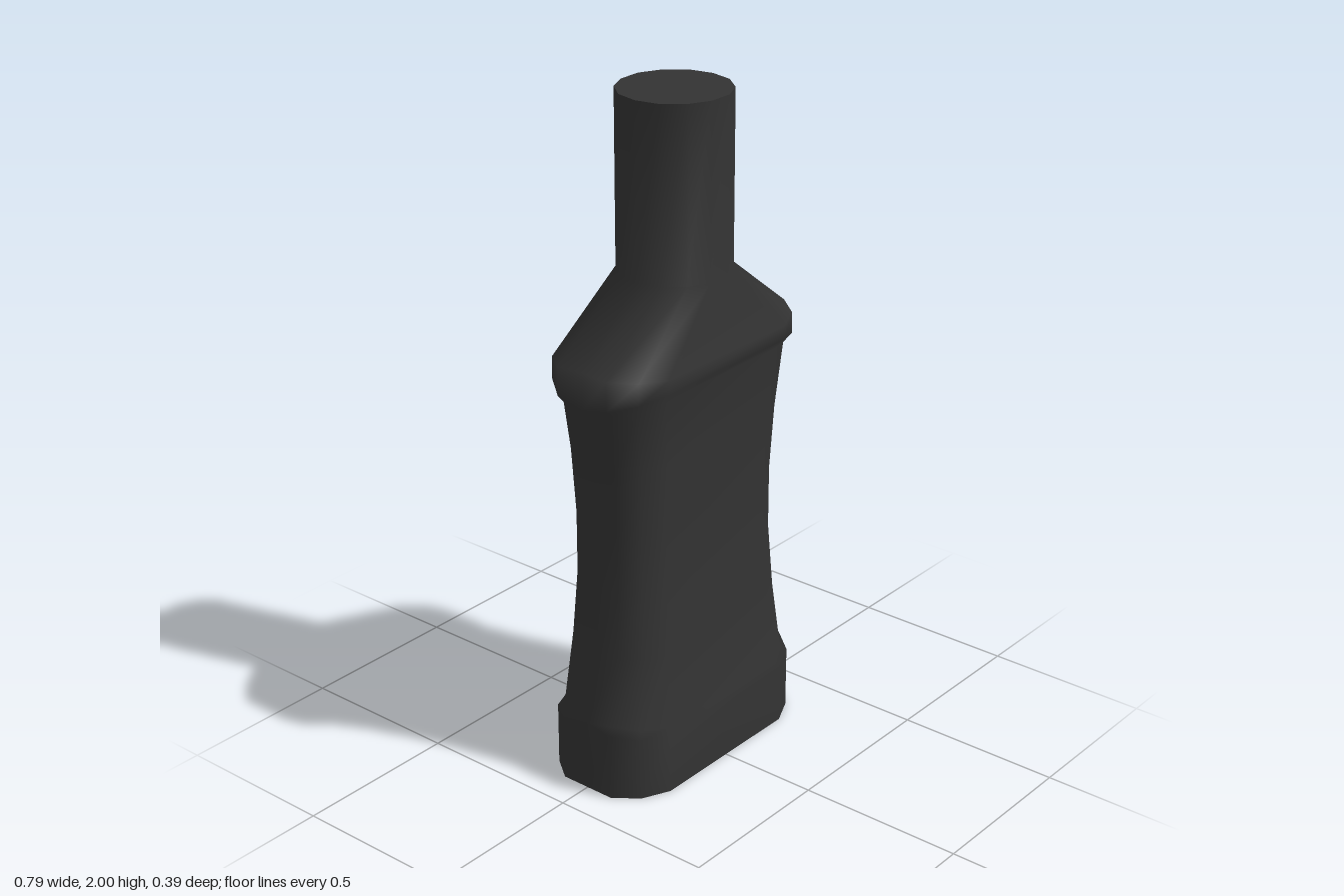
import * as THREE from 'three';

// quarter outlines, from the side (+x) round to the front (+z)
const bodyQuarter = [[0.393, 0], [0.393, 0.088], [0.34, 0.158], [0.257, 0.197]];
const neckQuarter = [[0.163, 0], [0.148, 0.07], [0.1, 0.128], [0.037, 0.158]];

// mirror a quarter outline into a closed loop of 14 points [x, z, t], t = 0 at the side, 1 at the front
function fullLoop(quarter) {
  const q = quarter.map(([x, z], i) => [x, z, i / 3]);
  const half = [...q, ...q.slice(1).reverse().map(([x, z, t]) => [-x, z, t])];
  const back = [...q.slice(1).map(([x, z, t]) => [-x, -z, t]), ...q.slice(1).reverse().map(([x, z, t]) => [x, -z, t])];
  return [...half, [-q[0][0], 0, 0], ...back];
}

// one level: height at the sides, height at the front, half width, half depth
function bodyRing([ySide, yFront, hx, hz]) {
  return fullLoop(bodyQuarter).map(([x, z, t]) =>
    [x * hx / 0.393, THREE.MathUtils.lerp(ySide, yFront, t), z * hz / 0.197]);
}
const neckRing = (y) => fullLoop(neckQuarter).map(([x, z]) => [x, y, z]);

// smooth wall through a stack of rings
function loft(rings) {
  const n = rings[0].length, index = [];
  for (let r = 0; r < rings.length - 1; r++) {
    for (let i = 0; i < n; i++) {
      const a = r * n + i, b = r * n + (i + 1) % n;
      index.push(a, a + n, b, b, a + n, b + n);
    }
  }
  return makeGeometry(rings.flat(), index);
}

// flat lid over a ring
function cap(ring, up) {
  const index = [];
  for (let i = 1; i < ring.length - 1; i++) index.push(0, ...(up ? [i + 1, i] : [i, i + 1]));
  return makeGeometry(ring, index);
}

function makeGeometry(points, index) {
  const g = new THREE.BufferGeometry();
  g.setAttribute('position', new THREE.Float32BufferAttribute(points.flat(), 3));
  g.setIndex(index);
  g.computeVertexNormals();
  return g;
}

export function createModel() {
  const model = new THREE.Group();
  model.name = 'bottle';
  const material = new THREE.MeshStandardMaterial({ color: 0x333333 });
  const add = (name, geometry) => {
    const mesh = new THREE.Mesh(geometry, material);
    mesh.name = name;
    model.add(mesh);
  };

  // foot, waisted grip, shoulder bulge, then the round neck
  const rings = [
    [0, 0, 0.393, 0.197],
    [0.215, 0.18, 0.393, 0.197],
    [0.235, 0.2, 0.374, 0.18],
    [0.44, 0.42, 0.343, 0.164],
    [0.63, 0.62, 0.33, 0.151],
    [0.81, 0.81, 0.331, 0.15],
    [1.0, 1.01, 0.342, 0.16],
    [1.165, 1.215, 0.37, 0.171],
    [1.19, 1.245, 0.39, 0.194],
    [1.3, 1.285, 0.389, 0.192],
  ].map(bodyRing);
  rings.push(neckRing(1.49), neckRing(2));

  add('bottleWall', loft(rings));
  add('bottomFace', cap(rings[0], false));
  add('neckTop', cap(rings[rings.length - 1], true));
  return model;
}
